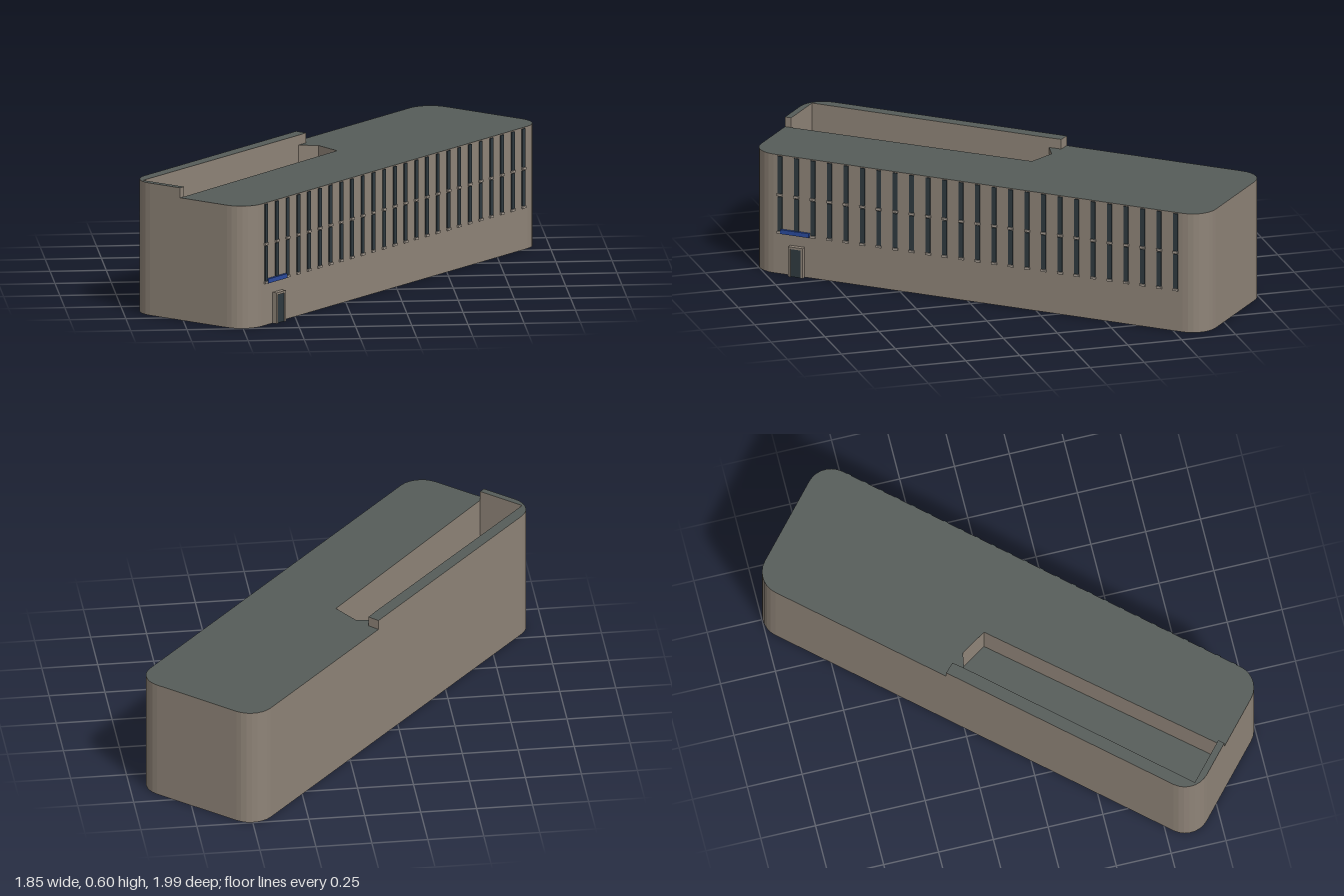
import * as THREE from 'three';

const L = 1.105, W = 0.322, R = 0.11;      // half length, half width, corner radius
const ROOF = 0.555, TOP = 0.6, FLOOR = 0.37;

const mat = (color) => new THREE.MeshStandardMaterial({ color, side: THREE.DoubleSide, flatShading: true });

// Plan points are (x, -z), so that a shape laid flat faces up
const plan = (list) => list.map(([x, z]) => new THREE.Vector2(x, -z));

// Quarter-circle corner in plan, sweeping from angle a0 to a0 + 90 degrees
function corner(cx, cy, a0, steps = 7) {
  const pts = [];
  for (let i = 0; i <= steps; i++) {
    const a = a0 + (i / steps) * Math.PI / 2;
    pts.push(new THREE.Vector2(cx + R * Math.cos(a), cy + R * Math.sin(a)));
  }
  return pts;
}

// Upright wall along a closed plan outline
function wallRing(pts, y0, y1) {
  const pos = [];
  pts.forEach((a, i) => {
    const b = pts[(i + 1) % pts.length];
    pos.push(a.x, y0, -a.y, b.x, y0, -b.y, b.x, y1, -b.y);
    pos.push(a.x, y0, -a.y, b.x, y1, -b.y, a.x, y1, -a.y);
  });
  const g = new THREE.BufferGeometry();
  g.setAttribute('position', new THREE.Float32BufferAttribute(pos, 3));
  g.computeVertexNormals();
  return g;
}

const flat = (shape, y) => new THREE.ShapeGeometry(shape).rotateX(-Math.PI / 2).translate(0, y, 0);

export function createModel() {
  const wallMat = mat(0x8f8478), roofMat = mat(0x565c59), glassMat = mat(0x2f3a40);
  const sillMat = mat(0xa39a90), blueMat = mat(0x2a4a9c);
  const building = new THREE.Group();
  building.name = 'building';

  const add = (name, geometry, material, parent = building) => {
    const m = new THREE.Mesh(geometry, material);
    m.name = name;
    parent.add(m);
    return m;
  };
  const box = (name, w, h, d, x, y, z, material, parent) =>
    add(name, new THREE.BoxGeometry(w, h, d).translate(x, y, z), material, parent);

  // Outer walls: rounded rectangle, open underneath
  const cx = L - R, cz = W - R, q = Math.PI / 2;
  const outline = [
    ...corner(cx, cz, 0), ...corner(-cx, cz, q),
    ...corner(-cx, -cz, 2 * q), ...corner(cx, -cz, 3 * q),
  ];
  add('outerWalls', wallRing(outline, 0, ROOF), wallMat);

  // Roof with a sunken terrace
  const well = plan([[-1.075, -0.27], [-1.075, -0.045], [0.089, -0.06], [0.126, -0.19], [0.08, -0.265]]);
  const roof = new THREE.Shape(outline);
  roof.holes.push(new THREE.Path(well));
  add('roof', flat(roof, ROOF), roofMat);
  add('terraceWalls', wallRing([...well].reverse(), FLOOR, ROOF), wallMat);
  add('terraceFloor', flat(new THREE.Shape(well), FLOOR), roofMat);

  // Raised parapet along the back and round one end of the terrace
  const parapet = new THREE.Shape([
    ...plan([[0.141, -W]]), ...corner(-cx, cz, q),
    ...plan([[-L, -0.045], [-1.075, -0.045], [-1.075, -0.27], [0.08, -0.265], [0.138, -0.267]]),
  ]);
  const parapetGeo = new THREE.ExtrudeGeometry(parapet, { depth: TOP - ROOF, bevelEnabled: false });
  add('parapet', parapetGeo.rotateX(-Math.PI / 2).translate(0, ROOF, 0), [roofMat, wallMat]);

  // Two rows of narrow windows with sills on the long face
  const windows = new THREE.Group();
  windows.name = 'windows';
  building.add(windows);
  for (let i = 0; i < 25; i++) {
    const x = -0.963 + i * 0.0802;
    for (const [y0, y1] of [[0.2, 0.36], [0.375, 0.55]]) {
      box('windowPane', 0.022, y1 - y0, 0.01, x, (y0 + y1) / 2, W, glassMat, windows);
      box('windowSill', 0.026, 0.01, 0.016, x, y0 - 0.006, W, sillMat, windows);
    }
  }

  // Entrance porch, door and blank sign plate
  box('entranceDoor', 0.05, 0.13, 0.03, -0.878, 0.065, W + 0.003, glassMat);
  for (const s of [-1, 1]) box('doorJamb', 0.01, 0.14, 0.04, -0.878 + s * 0.03, 0.07, W + 0.003, wallMat);
  box('doorLintel', 0.07, 0.01, 0.04, -0.878, 0.135, W + 0.003, wallMat);
  box('signPlate', 0.14, 0.02, 0.012, -0.888, 0.2, W + 0.006, blueMat);

  // The block stands diagonally on its plot
  building.rotation.y = THREE.MathUtils.degToRad(48.7);
  const model = new THREE.Group();
  model.name = 'model';
  model.add(building);
  return model;
}
